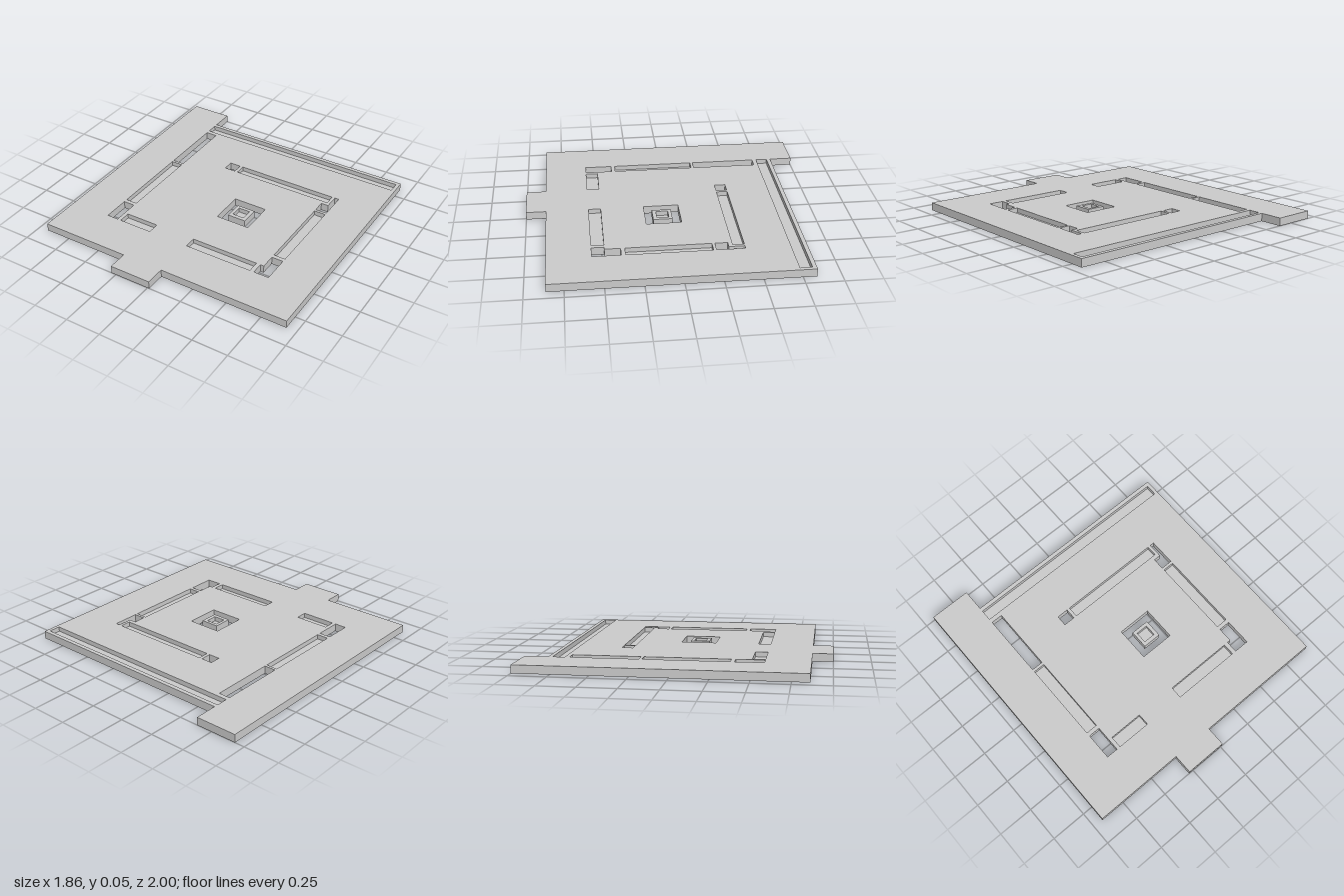
import * as THREE from 'three';

const THICK = 0.055;  // plate height
const FLOOR = 0.022;  // floor left under each pocket

// Counter-clockwise seen from above
const rect = (x0, x1, z0, z1) => [[x0, z0], [x0, z1], [x1, z1], [x1, z0]];
const toPoints = (pts) => pts.map(([x, z]) => new THREE.Vector2(x, -z));

// Vertical extrusion of an x/z outline with openings
function slab(outline, openings, height) {
  const shape = new THREE.Shape(toPoints(outline));
  openings.forEach((o) => shape.holes.push(new THREE.Path(toPoints(o).reverse())));
  const geo = new THREE.ExtrudeGeometry(shape, { depth: height, bevelEnabled: false });
  return geo.rotateX(-Math.PI / 2);
}

export function createModel() {
  const group = new THREE.Group();
  const material = new THREE.MeshStandardMaterial({ color: 0xcccccc, flatShading: true });
  const add = (name, geo) => {
    const mesh = new THREE.Mesh(geo, material);
    mesh.name = name;
    group.add(mesh);
  };

  // Plate outline with a back corner extension and a front tab
  const outline = [
    [-0.93, -1], [-0.93, 0.863], [-0.285, 0.863], [-0.285, 1], [0.012, 1],
    [0.012, 0.863], [0.93, 0.863], [0.93, -0.84], [-0.637, -0.84], [-0.637, -1],
  ];

  // Openings that go right through
  const holes = [
    rect(-0.637, -0.555, -0.70, -0.241),
    rect(-0.637, -0.555, 0.378, 0.568),
    rect(-0.256, -0.175, -0.432, -0.355),
    rect(0.012, 0.255, -0.057, 0.185),
    [[0.605, -0.432], [0.605, -0.326], [0.553, -0.326], [0.553, -0.241], [0.635, -0.241], [0.635, -0.432]],
    [[0.553, 0.378], [0.553, 0.484], [0.528, 0.484], [0.528, 0.568], [0.635, 0.568], [0.635, 0.378]],
  ];

  // Shallow pockets open at the top
  const pockets = {
    backPocket: rect(-0.637, 0.905, -0.812, -0.731),
    rightPocket: rect(-0.637, -0.555, -0.221, 0.35),
    leftPocket: rect(0.553, 0.635, -0.221, 0.35),
    innerBackPocket: rect(-0.152, 0.583, -0.432, -0.355),
    frontRightPocket: rect(-0.528, -0.285, 0.484, 0.568),
    frontLeftPocket: rect(0.012, 0.498, 0.484, 0.568),
  };

  add('basePlate', slab(outline, [...holes, ...Object.values(pockets)], THICK));
  for (const [name, r] of Object.entries(pockets)) add(name + 'Floor', slab(r, [], FLOOR));

  // Small block with its own pocket inside the centre opening
  const islandPocket = rect(0.09, 0.175, 0.023, 0.105);
  add('centreBlock', slab(rect(0.068, 0.2, 0, 0.132), [islandPocket], THICK));
  add('centreBlockFloor', slab(islandPocket, [], FLOOR));

  return group;
}
